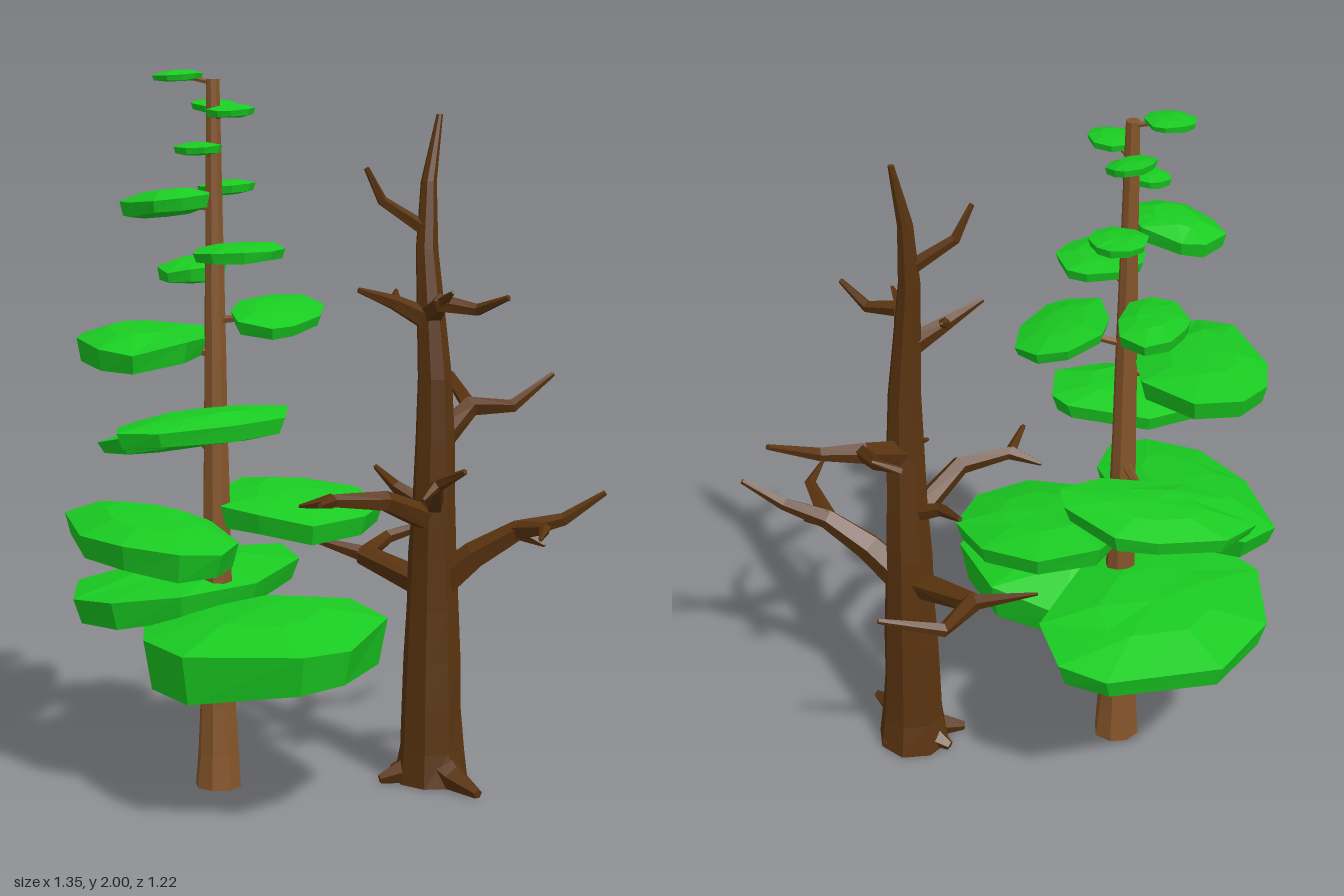
import * as THREE from 'three';

const V = (x, y, z) => new THREE.Vector3(x, y, z);
const mat = (color) => new THREE.MeshStandardMaterial({ color, flatShading: true });

// small seeded noise in -1..1
let seed = 7;
const rnd = () => {
  seed = (seed * 16807) % 2147483647;
  return (seed / 2147483647) * 2 - 1;
};

// joins a stack of counter-clockwise rings, with a fan at both ends
function skin(rings, start, end, material, name) {
  const corners = [];
  const n = rings[0].length;
  const last = rings[rings.length - 1];
  for (let i = 0; i < n; i++) {
    const j = (i + 1) % n;
    corners.push(start, rings[0][j], rings[0][i], end, last[i], last[j]);
    for (let k = 0; k < rings.length - 1; k++) {
      const a = rings[k], b = rings[k + 1];
      corners.push(a[i], a[j], b[j], a[i], b[j], b[i]);
    }
  }
  const geometry = new THREE.BufferGeometry().setFromPoints(corners);
  geometry.computeVertexNormals();
  const mesh = new THREE.Mesh(geometry, material);
  mesh.name = name;
  return mesh;
}

// upright trunk along a curve, radius given by height
function trunk(curve, radius, material) {
  const steps = 12, sides = 8;
  const rings = Array.from({ length: steps + 1 }, (_, k) => {
    const p = curve.getPointAt((k / steps) ** 1.2);
    return Array.from({ length: sides }, (_, i) => {
      const a = (i / sides) * Math.PI * 2 + 0.4;
      const r = radius(p.y) * (1 + 0.04 * rnd());
      return V(p.x + Math.cos(a) * r, p.y, p.z - Math.sin(a) * r);
    });
  });
  return skin(rings, curve.getPointAt(0), curve.getPointAt(1), material, 'trunk');
}

// five-sided limb through points, tapering from r0 to r1
function limb(points, r0, r1, material, name) {
  const end = points.length - 1;
  const along = points[end].clone().sub(points[0]).normalize();
  const ref = Math.abs(along.y) > 0.8 ? V(0, 0, 1) : V(0, 1, 0);
  const rings = points.map((p, i) => {
    const t = points[Math.min(i + 1, end)].clone().sub(points[Math.max(i - 1, 0)]).normalize();
    const u = ref.clone().cross(t).normalize();
    const v = t.clone().cross(u);
    const r = THREE.MathUtils.lerp(r0, r1, i / end);
    return Array.from({ length: 5 }, (_, k) => {
      const a = (k / 5) * Math.PI * 2 + 0.3;
      return p.clone().addScaledVector(u, Math.cos(a) * r).addScaledVector(v, Math.sin(a) * r);
    });
  });
  return skin(rings, points[0], points[end], material, name);
}

// faceted leaf slab filling a box; skew stretches its outline along a diagonal
function pad(centre, size, rise, skew, material) {
  const n = 9;
  const outline = Array.from({ length: n }, (_, i) => {
    const a = ((i + 0.25 * rnd()) / n) * Math.PI * 2;
    const r = 1 + 0.07 * rnd();
    const x = Math.cos(a) * r, z = -Math.sin(a) * r;
    return V(x, 0, z * Math.sqrt(1 - skew * skew) + x * skew);
  });
  const box = new THREE.Box3().setFromPoints(outline);
  const mid = box.getCenter(V(0, 0, 0)), span = box.getSize(V(0, 0, 0));
  const point = (p, scale, height) => {
    const q = V(((p.x - mid.x) / span.x) * scale, height, ((p.z - mid.z) / span.z) * scale).multiply(size);
    q.y += (rise / size.x) * q.x - 0.06 * q.z;
    return q.add(centre);
  };
  const ring = (scale, height, noise) => outline.map((p) => point(p, scale, height + noise * rnd()));
  const rings = [ring(0.5, -0.46, 0.03), ring(0.93, -0.32, 0.06), ring(1, 0.2, 0.08), ring(0.5, 0.45, 0.04)];
  return skin(rings, point(mid, 0, -0.5), point(mid, 0, 0.5), material, 'leafPad');
}

function leafyTree() {
  const tree = new THREE.Group();
  tree.name = 'leafyTree';
  const bark = mat(0x85552a), leaf = mat(0x1acc22);
  const curve = new THREE.LineCurve3(V(-0.203, 0, 0.167), V(-0.197, 1.975, 0.183));
  tree.add(trunk(curve, (y) => 0.051 - 0.0165 * y + 0.016 * Math.exp(-6 * y), bark));

  // each pad: left x, right x, back z, front z, height, thickness, rise towards +x, skew
  const pads = [
    [-0.31, 0.36, -0.08, 0.605, 0.455, 0.21, 0.03, 0],
    [-0.675, -0.11, -0.32, 0.47, 0.545, 0.13, 0.04, 0],
    [-0.58, 0.07, 0.2, 0.6, 0.74, 0.13, -0.03, 0.3],
    [-0.32, 0.165, -0.26, 0.2, 0.785, 0.11, -0.05, 0],
    [-0.66, -0.22, -0.2, 0.18, 0.965, 0.08, 0.06, -0.5],
    [-0.3, 0.11, 0.12, 0.57, 1.055, 0.09, 0.03, -0.45],
    [-0.585, -0.16, 0.08, 0.53, 1.25, 0.11, 0, 0.35],
    [-0.17, 0.1, -0.1, 0.31, 1.34, 0.06, -0.04, 0.4],
    [-0.435, -0.22, -0.02, 0.26, 1.45, 0.065, 0, 0.3],
    [-0.18, 0.05, 0.09, 0.37, 1.515, 0.05, 0, 0],
    [-0.39, -0.12, 0.2, 0.41, 1.645, 0.075, 0.03, 0],
    [-0.31, -0.16, 0, 0.16, 1.68, 0.04, 0, 0],
    [-0.26, -0.12, 0.2, 0.31, 1.79, 0.035, 0, 0],
    [-0.32, -0.2, 0.02, 0.16, 1.9, 0.035, -0.02, 0],
    [-0.18, -0.04, 0.14, 0.28, 1.89, 0.035, 0, 0],
    [-0.35, -0.22, 0.15, 0.29, 1.984, 0.03, 0, 0],
  ];
  for (const [x0, x1, z0, z1, y, thickness, rise, skew] of pads) {
    const centre = V((x0 + x1) / 2, y, (z0 + z1) / 2);
    tree.add(pad(centre, V(x1 - x0, thickness, z1 - z0), rise, skew, leaf));
    const r = 0.02 - 0.006 * y;
    tree.add(limb([V(-0.198, y - 0.02, 0.178), centre], r, r * 0.6, bark, 'twig'));
  }
  return tree;
}

function bareTree() {
  const tree = new THREE.Group();
  tree.name = 'bareTree';
  const bark = mat(0x5a3410);
  const height = 1.88;
  const curve = new THREE.CatmullRomCurve3([
    V(0.245, 0, -0.24), V(0.25, 0.58, -0.23), V(0.27, 1.15, -0.205), V(0.235, 1.62, -0.21), V(0.242, height, -0.26),
  ]);
  const girth = (y) => 0.009 + 0.085 * Math.max(0, 1 - y / height) ** 0.8 + 0.012 * Math.exp(-25 * y);
  tree.add(trunk(curve, girth, bark));

  // r: base radius, y: height on the trunk, forks: index on the path, then points
  const branches = [
    { r: 0.052, y: 0.55, path: [[0.36, 0.66, -0.28], [0.47, 0.735, -0.33], [0.58, 0.77, -0.39], [0.67, 0.845, -0.46]], forks: [[2, [0.6, 0.765, -0.26], [0.66, 0.76, -0.14]], [2, [0.55, 0.7, -0.34]]] },
    { r: 0.045, y: 0.56, path: [[-0.01, 0.62, -0.26], [-0.05, 0.64, -0.43], [0.07, 0.69, -0.56]], forks: [[1, [-0.17, 0.67, -0.17]]] },
    { r: 0.04, y: 0.75, path: [[0.25, 0.84, 0], [0.17, 0.85, 0.13], [0.22, 0.86, 0.25]], forks: [[2, [0.08, 0.83, 0.16]]] },
    { r: 0.032, y: 0.78, path: [[0.38, 0.89, -0.06], [0.485, 0.94, -0.04]], forks: [[1, [0.39, 0.86, 0.02]]] },
    { r: 0.03, y: 0.78, path: [[0.14, 0.84, -0.21], [0.03, 0.88, -0.26]], forks: [] },
    { r: 0.042, y: 0.97, path: [[0.27, 1.06, -0.38], [0.36, 1.06, -0.46], [0.4, 1.14, -0.61]], forks: [[1, [0.13, 1.13, -0.48], [0.02, 1.17, -0.51], [0.07, 1.2, -0.56]]] },
    { r: 0.036, y: 1.33, path: [[0.34, 1.375, -0.13], [0.44, 1.36, -0.16], [0.545, 1.4, -0.15]], forks: [[1, [0.4, 1.41, -0.1]]] },
    { r: 0.036, y: 1.31, path: [[0.2, 1.37, -0.11], [0.16, 1.41, 0]], forks: [[1, [0.17, 1.4, -0.16]]] },
    { r: 0.022, y: 1.56, path: [[0.15, 1.645, -0.12], [0.13, 1.735, -0.075]], forks: [] },
  ];
  for (const { r, y, path, forks } of branches) {
    const points = [curve.getPointAt(y / height), ...path.map((p) => V(...p))];
    tree.add(limb(points, r, 0.008, bark, 'branch'));
    for (const [at, ...rest] of forks) {
      tree.add(limb([points[at], ...rest.map((p) => V(...p))], r * 0.55, 0.005, bark, 'fork'));
    }
  }

  // roots flaring from the foot
  const foot = V(0.245, 0.07, -0.24);
  for (const [x, z] of [[0.45, -0.17], [0.12, -0.22], [0.15, -0.12], [0.28, -0.33]]) {
    const tip = V(x, 0.012, z);
    const knee = foot.clone().lerp(tip, 0.5).setY(0.03);
    tree.add(limb([foot, knee, tip], 0.06, 0.014, bark, 'root'));
  }
  return tree;
}

export function createModel() {
  seed = 7;
  const model = new THREE.Group();
  model.name = 'twoTrees';
  model.add(leafyTree(), bareTree());
  return model;
}
